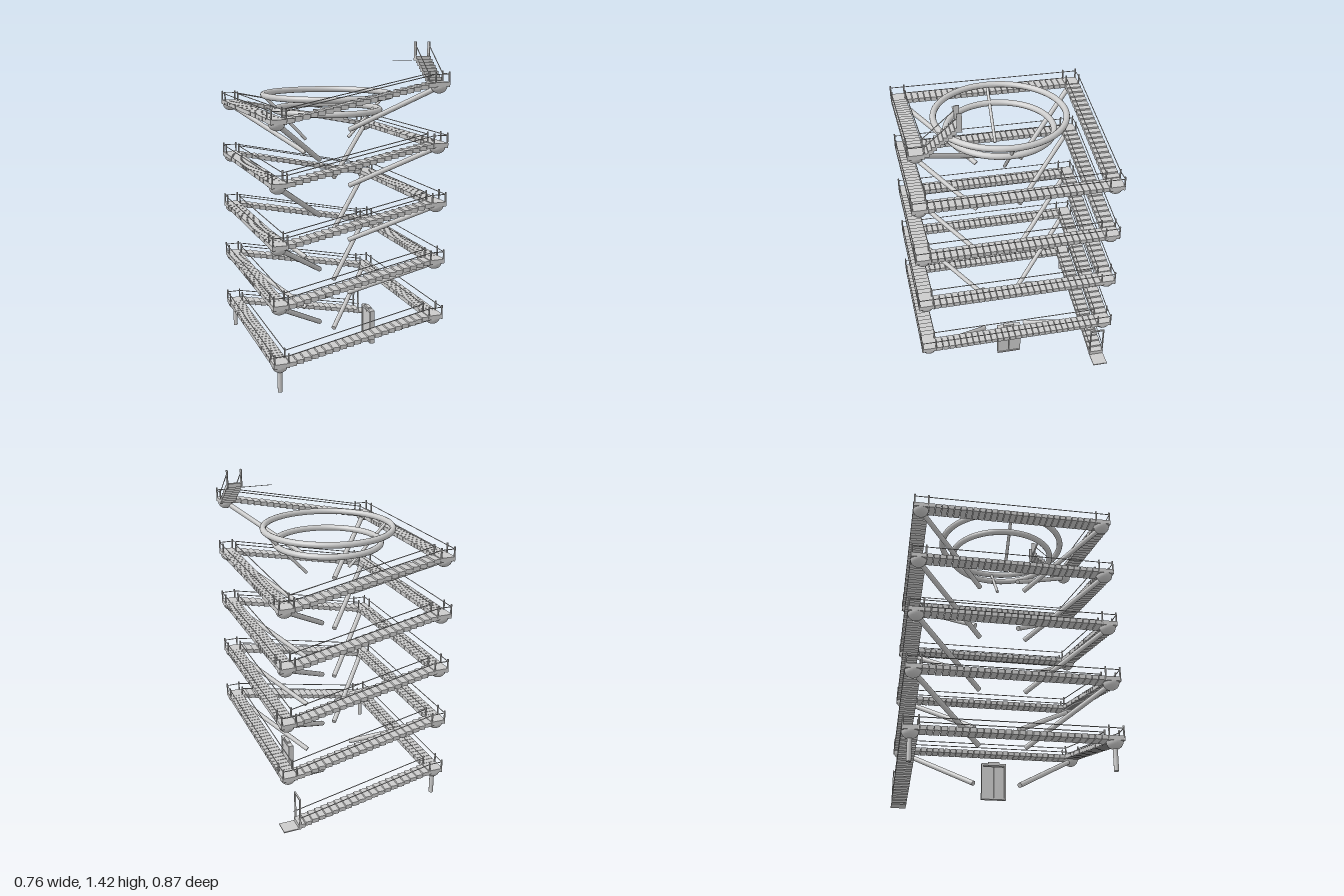
import * as THREE from 'three';

const mat = new THREE.MeshStandardMaterial({ color: 0xcccccc });
const RISE = 0.124;                     // height gained by each flight
const FLIGHTS = 10;
const XL = 0.275, XR = 0.963, ZC = 0.4; // corner landing centres
const W = 0.066, H = W / 2;             // walkway width
const SLAB = 0.018, RAIL = 0.052, POST = 0.062;

function add(parent, name, geometry, x = 0, y = 0, z = 0) {
  const mesh = new THREE.Mesh(geometry, mat);
  mesh.name = name;
  mesh.position.set(x, y, z);
  parent.add(mesh);
  return mesh;
}

const box = (parent, name, w, h, d, x, y, z) =>
  add(parent, name, new THREE.BoxGeometry(w, h, d), x, y, z);

// Round bar between two points
function bar(parent, name, a, b, r, sides = 6) {
  const p = new THREE.Vector3(...a), q = new THREE.Vector3(...b);
  const dir = q.clone().sub(p);
  const mesh = add(parent, name, new THREE.CylinderGeometry(r, r, dir.length(), sides));
  mesh.position.copy(p).add(q).multiplyScalar(0.5);
  mesh.quaternion.setFromUnitVectors(new THREE.Vector3(0, 1, 0), dir.normalize());
}

function group(parent, name) {
  const g = new THREE.Group();
  g.name = name;
  parent.add(g);
  return g;
}

// Corner landing: slab, domed underside, posts and outer rails
function landing(parent, x, y, z) {
  const g = group(parent, 'landing');
  const sx = x > 0.6 ? 1 : -1, sz = Math.sign(z), e = H - 0.003;
  box(g, 'landingSlab', W, SLAB, W, x, y + 0.011, z);
  const dome = new THREE.SphereGeometry(0.034, 20, 8, 0, Math.PI * 2, Math.PI / 2, Math.PI / 2);
  add(g, 'landingDome', dome, x, y + 0.004, z).scale.y = 0.92;
  for (const i of [-1, 1]) for (const j of [-1, 1])
    bar(g, 'post', [x + i * e, y, z + j * e], [x + i * e, y + POST, z + j * e], 0.0036);
  const ry = y + RAIL, ox = x + sx * e, oz = z + sz * e;
  bar(g, 'landingRail', [x - e, ry, oz], [x + e, ry, oz], 0.002);
  bar(g, 'landingRail', [ox, ry, z - e], [ox, ry, z + e], 0.002);
}

// Diagonal strut from a corner inwards and down
function strut(parent, x, y, z) {
  const right = x > 0.6;
  bar(parent, 'strut', [x, y, z],
    [right ? 0.69 : 0.55, y - 0.2, Math.sign(z) * 0.1], 0.011, 12);
}

// Sloping flight along x
function flight(parent, k) {
  const g = group(parent, 'flight');
  const z = k % 2 ? ZC : -ZC;
  const from = k % 2 ? XL + H : XR - H, to = k % 2 ? XR - H : XL + H;
  const y0 = k * RISE, n = 20, step = (to - from) / n;
  for (let i = 0; i < n; i++)
    box(g, 'tread', Math.abs(step) * 0.94, SLAB, W,
      from + step * (i + 0.5), y0 + 0.011 + RISE * (i + 0.5) / n, z);
  for (const s of [-1, 1]) {
    const rz = z + s * (H - 0.003);
    bar(g, 'handrail', [from, y0 + RAIL, rz], [to, y0 + RISE + RAIL, rz], 0.002);
  }
}

// Level walkway along z
function walkway(parent, x, y) {
  const g = group(parent, 'walkway');
  const n = 27, len = 2 * (ZC - H), step = len / n;
  for (let i = 0; i < n; i++)
    box(g, 'plank', W, SLAB, step * 0.9, x, y + 0.011, -len / 2 + step * (i + 0.5));
  for (const s of [-1, 1]) {
    const rx = x + s * (H - 0.003);
    bar(g, 'handrail', [rx, y + RAIL, -len / 2], [rx, y + RAIL, len / 2], 0.002);
  }
}

export function createModel() {
  const model = new THREE.Group();
  model.name = 'squareSpiralStaircase';

  for (let k = 0; k < FLIGHTS; k++) flight(model, k);
  for (let k = 1; k <= FLIGHTS; k++) {
    const x = k % 2 ? XL : XR, y = k * RISE;
    if (k < FLIGHTS) walkway(model, x, y);
    for (const z of k < FLIGHTS ? [-ZC, ZC] : [ZC]) {
      landing(model, x, y, z);
      if (k > 1) strut(model, x, y, z);
      else bar(model, 'leg', [x, y - 0.02, z], [x, 0.01, z], 0.01, 12);
    }
  }

  // Entrance plate and gate at the foot
  const gate = group(model, 'entrance');
  box(gate, 'entrancePlate', 0.078, 0.005, W, 0.957, 0.0025, -ZC);
  for (const s of [-1, 1])
    box(gate, 'gatePost', 0.007, 0.15, 0.005, 0.922, 0.075, -ZC + s * (H - 0.0025));
  box(gate, 'gateLintel', 0.007, 0.006, W, 0.922, 0.147, -ZC);

  // Steep stair above the last landing, with a thin strip leading inwards
  const top = group(model, 'topStair');
  const base = FLIGHTS * RISE, steps = 9, z0 = ZC - H, z1 = 0.235;
  for (let i = 0; i < steps; i++) {
    const t = (i + 0.5) / steps;
    box(top, 'topTread', W, 0.016, 0.02, XR, base + 0.01 + t * 0.105, z0 + (z1 - z0) * t);
  }
  for (const s of [-1, 1]) {
    const x = XR + s * (H - 0.002);
    box(top, 'endPanel', 0.004, 0.078, 0.02, x, 1.378, z1);
    bar(top, 'topHandrail', [x, base + RAIL, z0], [x, 1.405, z1], 0.002);
  }
  box(top, 'topStrip', 0.135, 0.001, 0.008, 0.8625, 1.34, 0.229);

  // Twin rings with their two inclined supports
  const rings = group(model, 'rings');
  const cx = 0.619, cz = 0.007;
  for (const [r, y] of [[0.28, 1.187], [0.23, 1.122]]) {
    const ring = add(rings, 'ring', new THREE.TorusGeometry(r, 0.0135, 12, 72), cx, y, cz);
    ring.rotation.x = Math.PI / 2;
  }
  for (const s of [-1, 1])
    bar(rings, 'ringSupport', [cx + s * 0.278, 1.18, cz], [cx + s * 0.1, 0.993, cz], 0.007, 10);

  // Lift door: two leaves in a frame
  const door = group(model, 'liftDoor');
  const dx = 0.825, dz = 0.008;
  for (const s of [-1, 1]) {
    box(door, 'doorLeaf', 0.014, 0.145, 0.046, dx, 0.088, dz + s * 0.0238);
    box(door, 'doorJamb', 0.022, 0.16, 0.008, dx, 0.094, dz + s * 0.051);
  }
  box(door, 'doorHead', 0.022, 0.009, 0.11, dx, 0.17, dz);
  box(door, 'doorSill', 0.022, 0.006, 0.11, dx, 0.016, dz);
  box(door, 'indicator', 0.016, 0.009, 0.05, dx, 0.178, dz);
  return model;
}
